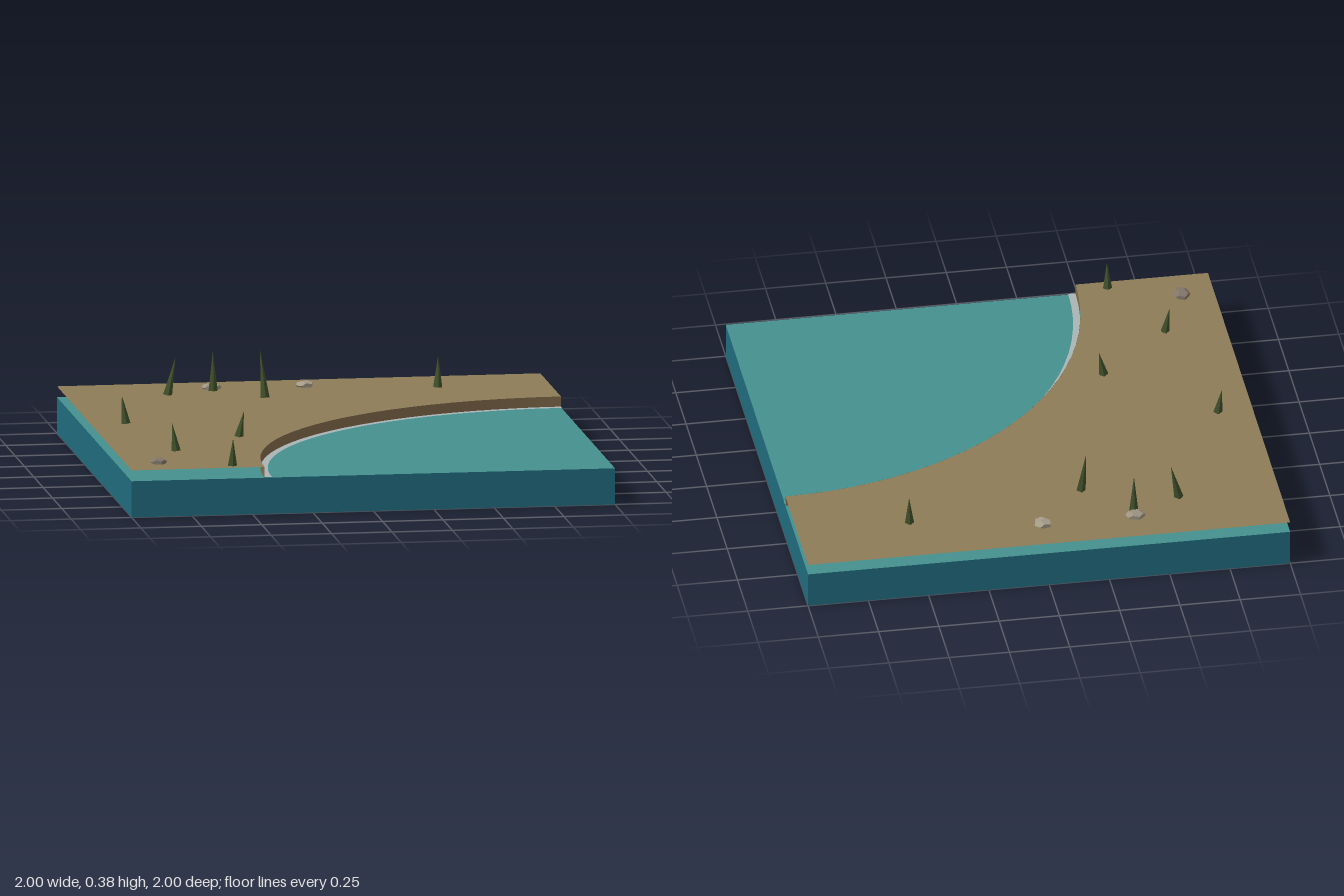
import * as THREE from 'three';

const WATER_Y = 0.15, SAND_Y = 0.195, SHORE_R = 1.45, SEGMENTS = 24;

const paint = (color, options = {}) => new THREE.MeshStandardMaterial({ color, ...options });

export function createModel() {
  const model = new THREE.Group();
  const add = (name, geometry, material, x = 0, y = 0, z = 0) => {
    const mesh = new THREE.Mesh(geometry, material);
    mesh.name = name;
    mesh.position.set(x, y, z);
    model.add(mesh);
    return mesh;
  };

  // Block of water: dark sides, lighter surface
  const side = paint(0x1f6a7c), surface = paint(0x45908f);
  add('water', new THREE.BoxGeometry(2, WATER_Y, 2),
    [side, side, surface, side, side, side], 0, WATER_Y / 2, 0);

  // Thin sheet of sand around a quarter-circle bay
  const outline = new THREE.Shape();
  outline.moveTo(1, SHORE_R - 1);
  outline.absarc(1, -1, SHORE_R, Math.PI / 2, Math.PI, false);
  outline.lineTo(-1, -1);
  outline.lineTo(-1, 1);
  outline.lineTo(1, 1);
  add('sand', new THREE.ShapeGeometry(outline, SEGMENTS).rotateX(-Math.PI / 2),
    paint(0x8c7b57, { side: THREE.DoubleSide }), 0, SAND_Y, 0);

  // Curved bank dropping from the sand to the water
  add('shoreBank',
    new THREE.CylinderGeometry(SHORE_R, SHORE_R, SAND_Y - WATER_Y, SEGMENTS, 1, true, Math.PI, Math.PI / 2),
    paint(0x80694a, { side: THREE.DoubleSide }), 1, (SAND_Y + WATER_Y) / 2, 1);

  // Narrow foam line on the water
  add('foam',
    new THREE.RingGeometry(SHORE_R - 0.03, SHORE_R, SEGMENTS, 1, Math.PI / 2, Math.PI / 2).rotateX(-Math.PI / 2),
    paint(0xa9b4b4, { side: THREE.DoubleSide }), 1, WATER_Y + 0.003, 1);

  // Leaning grass spikes: base x, base z, tip x, tip y, tip z
  const grass = paint(0x3f4f2a, { flatShading: true });
  const up = new THREE.Vector3(0, 1, 0);
  [
    [-0.585, -0.725, -0.55, 0.35, -0.735],
    [-0.385, -0.8, -0.385, 0.36, -0.805],
    [-0.2, -0.605, -0.215, 0.385, -0.64],
    [0.535, -0.74, 0.54, 0.325, -0.76],
    [-0.855, -0.09, -0.87, 0.31, -0.105],
    [-0.445, 0.28, -0.425, 0.3, 0.285],
    [-0.75, 0.575, -0.765, 0.31, 0.56],
    [-0.575, 0.95, -0.575, 0.31, 0.965],
  ].forEach(([x, z, tipX, tipY, tipZ]) => {
    const lean = new THREE.Vector3(tipX - x, tipY - SAND_Y, tipZ - z);
    const height = lean.length();
    const blade = add('grassSpike',
      new THREE.ConeGeometry(0.019, height, 4).translate(0, height / 2, 0), grass, x, SAND_Y, z);
    blade.quaternion.setFromUnitVectors(up, lean.normalize());
  });

  // Flattened faceted stones: x, z, width, depth, turn, colour
  [
    [-0.385, -0.845, 0.085, 0.07, 0.3, 0x9c9280],
    [0, -0.845, 0.08, 0.08, 0.8, 0xa59b88],
    [-0.865, 0.845, 0.07, 0.09, 0.2, 0x81756a],
  ].forEach(([x, z, width, depth, turn, color]) => {
    const stone = new THREE.DodecahedronGeometry(0.5).rotateY(turn).scale(width, 0.036, depth);
    add('stone', stone, paint(color, { flatShading: true }), x, SAND_Y + 0.007, z);
  });

  return model;
}
